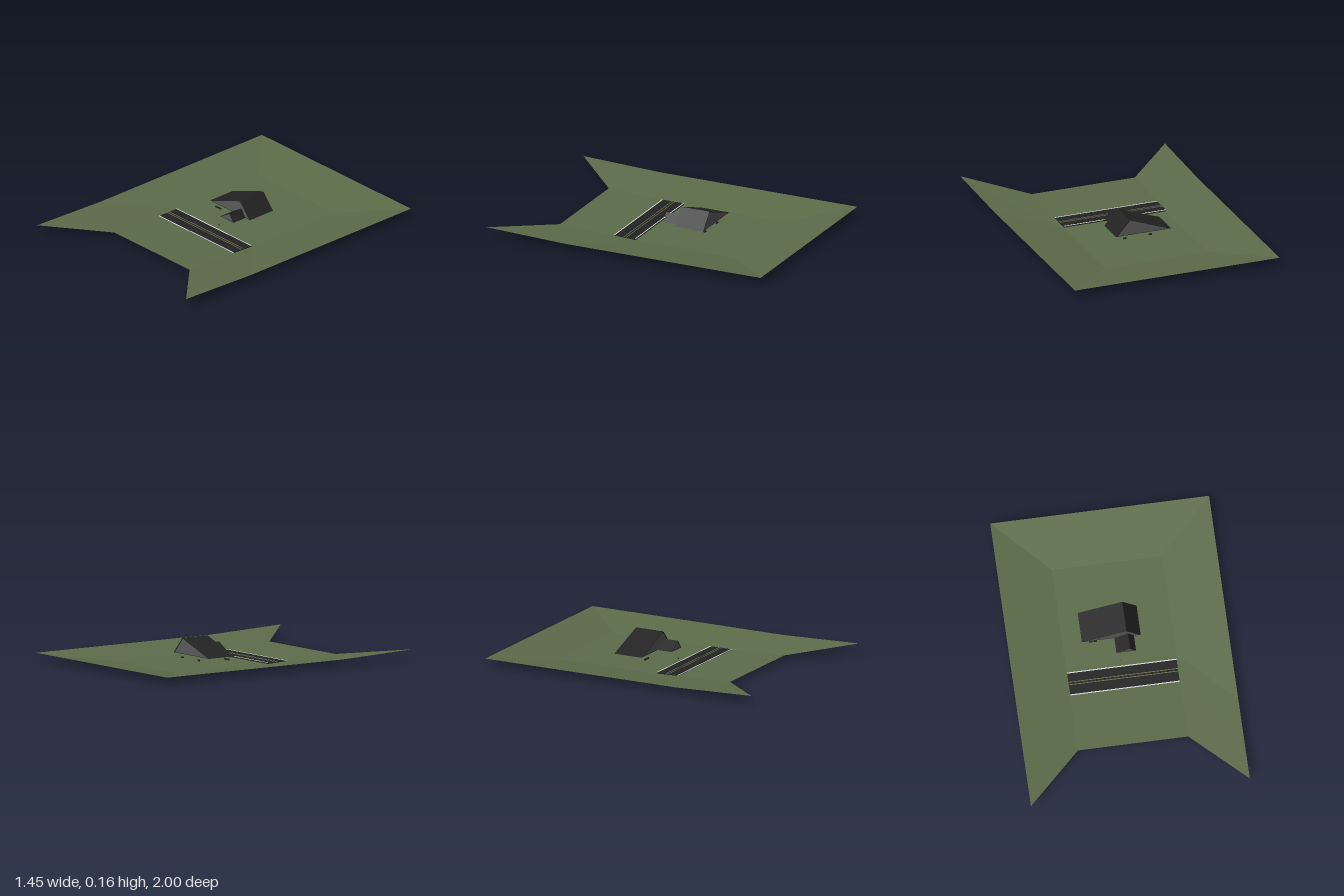
import * as THREE from 'three';

const mat = (name, color, side = THREE.FrontSide) => {
  const m = new THREE.MeshStandardMaterial({ color, side });
  m.name = name;
  return m;
};

export function createModel() {
  const grass = mat('grass', 0x5c6c4a, THREE.DoubleSide);
  const asphalt = mat('asphalt', 0x222222, THREE.DoubleSide);
  const roofDark = mat('roofDark', 0x232323);
  const gableGrey = mat('gableGrey', 0x5a5a5a);
  const white = mat('lineWhite', 0xdcdcdc);
  const olive = mat('lineOlive', 0x6f7650);
  const model = new THREE.Group();
  model.name = 'landPlot';

  const add = (name, geometry, material, x = 0, y = 0, z = 0, parent = model) => {
    const mesh = new THREE.Mesh(geometry, material);
    mesh.name = name;
    mesh.position.set(x, y, z);
    parent.add(mesh);
    return mesh;
  };

  // Flat-shaded sheet between two polylines; corners wind so that it faces up
  const sheet = (name, left, right, material) => {
    const pos = [];
    for (let i = 0; i < left.length - 1; i++) {
      const [a, b, c, d] = [left[i], left[i + 1], right[i + 1], right[i]];
      pos.push(...a, ...b, ...c, ...a, ...c, ...d);
    }
    const g = new THREE.BufferGeometry();
    g.setAttribute('position', new THREE.Float32BufferAttribute(pos, 3));
    g.computeVertexNormals();
    return add(name, g, material);
  };

  // Terrain: sunken floor that tilts up at the front, with banks on three sides
  const inner = [[-0.64, 0.002], [0.06, 0.002], [0.64, 0.023]];
  const outer = [[-1, 0.045], [0.43, 0.045], [1, 0.065]];
  const line = (pts, x) => pts.map(([z, y]) => [x, y, z]);
  const IN = 0.365, OUT = 0.725;
  sheet('groundFloor', line(inner, -IN), line(inner, IN), grass);
  sheet('leftBank', line(inner, IN), line(outer, OUT), grass);
  sheet('rightBank', line(outer, -OUT), line(inner, -IN), grass);
  sheet('backBank', line([outer[0], inner[0]], 0).map((p, i) => [i ? -IN : -OUT, p[1], p[2]]),
    line([outer[0], inner[0]], 0).map((p, i) => [i ? IN : OUT, p[1], p[2]]), grass);
  // Dark underlay beneath the front of the floor
  const under = [[0.06, 0], [0.64, 0.02]];
  sheet('frontUnderlay', line(under, -IN), line(under, IN), asphalt);

  // Road with edge lines and a double centre line
  const road = new THREE.Group();
  road.name = 'road';
  model.add(road);
  add('roadSurface', new THREE.BoxGeometry(0.725, 0.008, 0.16), asphalt, 0, 0.007, 0.168, road);
  for (const z of [0.091, 0.245])
    add('edgeLine', new THREE.BoxGeometry(0.725, 0.002, 0.007), white, 0, 0.0115, z, road);
  for (const z of [0.156, 0.174])
    add('centreLine', new THREE.BoxGeometry(0.725, 0.002, 0.005), olive, 0, 0.0115, z, road);

  // Roof: hollow dark triangular shell with grey gable infill at each end
  const inset = (pts, k) => {
    const c = [0, 1].map(i => (pts[0][i] + pts[1][i] + pts[2][i]) / 3);
    return pts.map(p => p.map((v, i) => c[i] + (v - c[i]) * k));
  };
  const toVec = pts => pts.map(p => new THREE.Vector2(...p));
  const gableRoof = (name, pts, z0, z1, k) => {
    const g = new THREE.Group();
    g.name = name;
    model.add(g);
    const shell = new THREE.Shape(toVec(pts));
    shell.holes.push(new THREE.Path(toVec(inset(pts, k))));
    const opt = depth => ({ depth, bevelEnabled: false });
    add('roofShell', new THREE.ExtrudeGeometry(shell, opt(z1 - z0)), roofDark, 0, 0, z0, g);
    add('gable', new THREE.ExtrudeGeometry(new THREE.Shape(toVec(inset(pts, k))), opt(z1 - z0 - 0.004)),
      gableGrey, 0, 0, z0 + 0.002, g);
  };
  gableRoof('mainRoof', [[-0.24, 0.055], [0.15, 0.055], [0.055, 0.162]], -0.3, -0.095, 0.93);
  gableRoof('porchRoof', [[-0.025, 0.055], [0.105, 0.055], [0.065, 0.11]], -0.095, 0.01, 0.84);

  // Small dark fittings under the eaves and a marker by the path
  for (const [x, z] of [[-0.18, -0.1], [-0.15, -0.1], [-0.1, -0.28], [0.08, -0.28]])
    add('eaveFitting', new THREE.BoxGeometry(0.022, 0.01, 0.008), roofDark, x, 0.028, z);
  add('pathMarker', new THREE.BoxGeometry(0.008, 0.012, 0.008), gableGrey, 0, 0.012, 0.045);

  return model;
}
